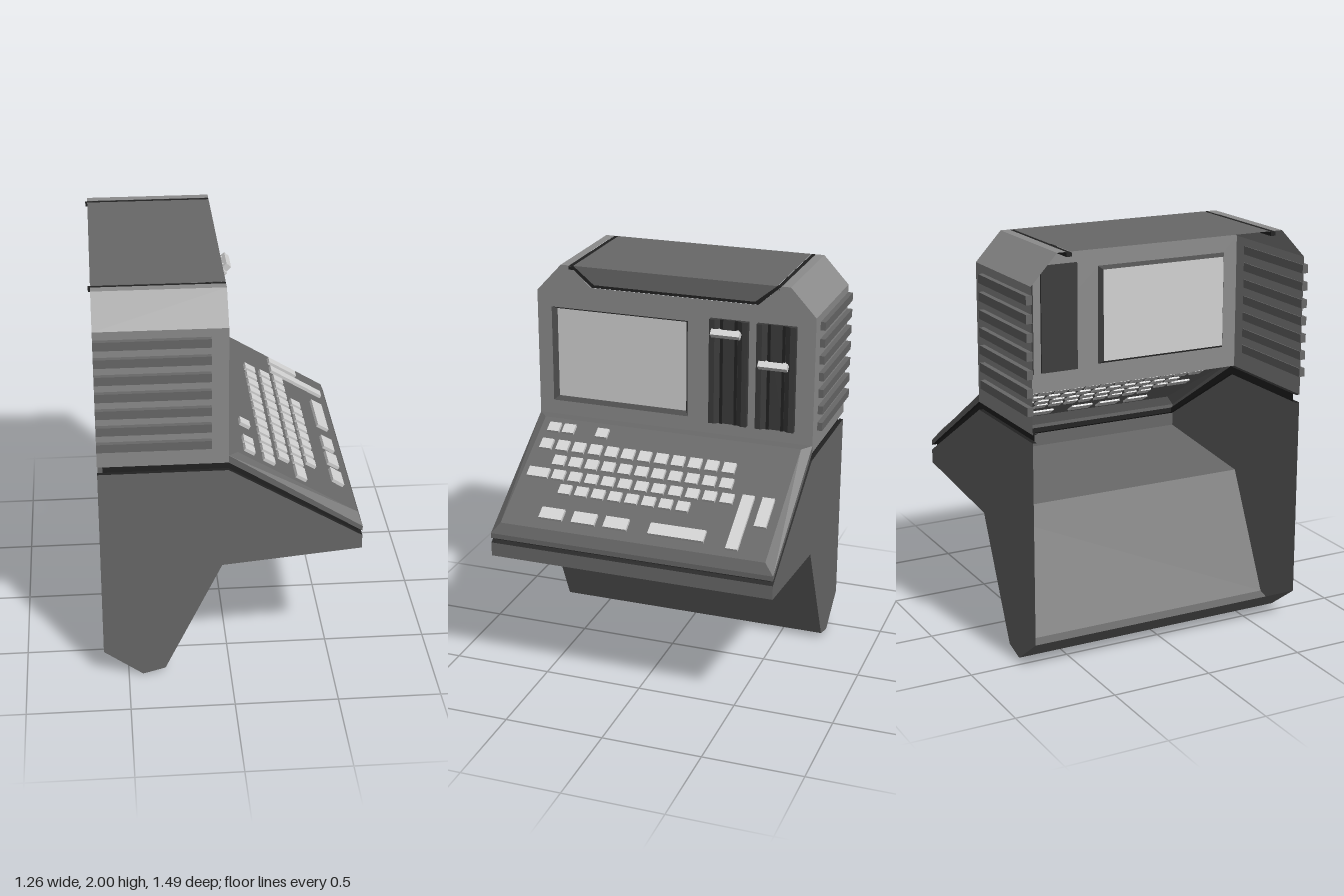
import * as THREE from 'three';

const flat = (name, color) => {
  const m = new THREE.MeshStandardMaterial({ color, side: THREE.DoubleSide });
  m.name = name;
  return m;
};

export function createModel() {
  const model = new THREE.Group();
  model.name = 'computerTerminal';
  const light = flat('cabinet grey', 0x8c8c8c);
  const dark = flat('base grey', 0x686868);
  const black = flat('seam black', 0x222222);
  const drive = flat('drive charcoal', 0x3c3c3c);
  const bezelGrey = flat('bezel grey', 0x4c4c4c);
  const pale = flat('pale grey', 0xd2d2d2);

  const add = (name, geometry, material, parent = model) => {
    const mesh = new THREE.Mesh(geometry, material);
    mesh.name = name;
    parent.add(mesh);
    return mesh;
  };
  // flat faces between two rows of 3D points
  const ribbon = (a, b) => {
    const p = [];
    for (let i = 0; i < a.length - 1; i++) {
      p.push(...a[i], ...b[i], ...b[i + 1], ...a[i], ...b[i + 1], ...a[i + 1]);
    }
    const g = new THREE.BufferGeometry();
    g.setAttribute('position', new THREE.Float32BufferAttribute(p, 3));
    g.computeVertexNormals();
    return g;
  };
  // an x-y path swept across z
  const sheet = (path, z0, z1) =>
    ribbon(path.map(([x, y]) => [x, y, z1]), path.map(([x, y]) => [x, y, z0]));
  const shape = (pts) => new THREE.Shape(pts.map(([x, y]) => new THREE.Vector2(x, y)));
  // matching side walls at both ends of the body
  const sidePair = (name, pts, z, material) => {
    for (const s of [1, -1]) {
      const g = new THREE.ShapeGeometry(shape(pts));
      if (s < 0) g.rotateY(Math.PI).scale(-1, 1, 1);
      add(name, g.translate(0, 0, s * z), material);
    }
  };
  // outline in (-z, y) turned to face +x
  const facing = (s, x) => new THREE.ShapeGeometry(s).rotateY(Math.PI / 2).translate(x, 0, 0);

  const W = 0.72, N = 0.7, BACK = -0.62, FRONT = -0.01;

  // hollow pedestal, open at the back
  const under = [[BACK, 0.14], [-0.43, 0], [-0.32, 0.03], [-0.04, 0.615], [0.63, 0.68], [0.63, 0.75]];
  const baseTop = [[0.63, 0.75], [FRONT, 1.135], [BACK, 1.135]];
  sidePair('pedestalSide', [...under, ...baseTop.slice(1)], W, dark);
  add('pedestalShell', sheet(under, -W, W), dark);

  // recessed black neck with ledges above and below
  const neckLow = [[0.61, 0.762], [FRONT, 1.135], [-0.595, 1.135]];
  const neckHigh = [[-0.595, 1.175], [FRONT, 1.175], [0.61, 0.788]];
  sidePair('neckSide', [...neckLow, ...neckHigh], N, black);
  add('neckFront', sheet([neckLow[0], neckHigh[2]], -N, N), black);
  const deckLow = [[0.63, 0.775], [FRONT, 1.175], [BACK, 1.175]];
  for (const path of [baseTop, deckLow]) {
    for (const s of [1, -1]) {
      add('neckLedge', sheet(path, Math.min(s * W, s * N), Math.max(s * W, s * N)), black);
    }
  }
  add('neckLip', sheet([[0.63, 0.75], neckLow[0]], -W, W), black);
  add('neckLip', sheet([neckHigh[2], [0.63, 0.775]], -W, W), black);

  // sloping keyboard deck with bevelled border
  const deckSide = [[FRONT, 1.175], [0.63, 0.775], [0.63, 0.8], [FRONT, 1.212]];
  sidePair('deckSide', deckSide, W, dark);
  add('deckFrontEdge', sheet([deckSide[1], deckSide[2]], -W, W), dark);
  const inner0 = [0.035, 1.205], inner1 = [0.61, 0.855], IZ = 0.675;
  const loop = (a, b, z) => [[...a, z], [...b, z], [...b, -z], [...a, -z], [...a, z]];
  add('deckBevel', ribbon(loop(deckSide[3], deckSide[2], W), loop(inner0, inner1, IZ)), dark);
  add('deckTop', sheet([inner0, inner1], -IZ, IZ), dark);

  // keys lying on the slope
  const keyboard = new THREE.Group();
  keyboard.name = 'keyboard';
  model.add(keyboard);
  const slope = (inner1[1] - inner0[1]) / (inner1[0] - inner0[0]);
  const tilt = Math.atan(slope);
  const key = (x0, x1, z0, z1) => {
    const x = (x0 + x1) / 2;
    const k = add('key', new THREE.BoxGeometry((x1 - x0) / Math.cos(tilt), 0.026, z1 - z0), pale, keyboard);
    k.position.set(x, inner0[1] + slope * (x - inner0[0]) + 0.004, (z0 + z1) / 2);
    k.rotation.z = tilt;
  };
  // rows: x start, x end, first key centre, count
  const rows = [[0.16, 0.212, -0.36, 12], [0.24, 0.29, -0.373, 11], [0.315, 0.363, -0.4, 11], [0.385, 0.432, -0.2, 8]];
  for (const [x0, x1, z, n] of rows) {
    for (let i = 0; i < n; i++) key(x0, x1, z + i * 0.0876 - 0.031, z + i * 0.0876 + 0.031);
  }
  for (const z of [0.34, 0.52, 0.6]) key(0.07, 0.117, z - 0.031, z + 0.031);
  key(0.315, 0.363, 0.53, 0.64);
  for (const [z0, z1] of [[-0.355, -0.075], [0.035, 0.155], [0.2, 0.32], [0.37, 0.49]]) key(0.51, 0.565, z0, z1);
  key(0.31, 0.455, -0.63, -0.57);
  key(0.31, 0.58, -0.53, -0.47);

  // upper cabinet walls, open at the back
  const wall = [[0.72, 1.175], [0.72, 1.86], [0.59, 2], [0.545, 2]];
  for (const s of [1, -1]) {
    add('cabinetSide', ribbon(wall.map(([z, y]) => [BACK, y, s * z]), wall.map(([z, y]) => [FRONT, y, s * z])), light);
    // roof seam
    add('roofSeam', new THREE.BoxGeometry(0.62, 0.018, 0.026).translate(-0.32, 1.988, s * 0.535), black);
    // louvres
    for (let i = 0; i < 7; i++) {
      add('louvre', new THREE.BoxGeometry(0.53, 0.042, 0.03).translate(-0.355, 1.285 + i * 0.0857, s * 0.73), dark);
    }
  }

  // front face with screen opening
  const face = shape([[-0.72, 1.175], [0.72, 1.175], [0.72, 1.86], [0.59, 2], [0.545, 2],
    [0.43, 1.897], [-0.43, 1.897], [-0.545, 2], [-0.59, 2], [-0.72, 1.86]]);
  const rect = (u0, v0, u1, v1) => [[u0, v0], [u1, v0], [u1, v1], [u0, v1], [u0, v0]];
  const opening = rect(-0.645, 1.285, 0.075, 1.78);
  const glass = rect(-0.626, 1.302, 0.058, 1.765);
  face.holes.push(new THREE.Path(opening.map(([u, v]) => new THREE.Vector2(u, v))));
  add('cabinetFace', facing(face, FRONT), light);
  add('screenBezel', ribbon(opening.map(([u, v]) => [FRONT, v, -u]), glass.map(([u, v]) => [-0.04, v, -u])), bezelGrey);
  add('screen', facing(shape(glass.slice(0, 4)), -0.04), pale);

  // roof panel and its front
  add('roofPanel', sheet([[BACK, 2], [FRONT, 2]], -0.523, 0.523), dark);
  add('roofFront', facing(shape([[-0.415, 1.912], [0.415, 1.912], [0.523, 2], [-0.523, 2]]), FRONT), dark);
  const outerU = [[0.545, 2], [0.43, 1.897], [-0.43, 1.897], [-0.545, 2]];
  const innerU = [[0.523, 2], [0.415, 1.912], [-0.415, 1.912], [-0.523, 2]];
  add('roofFrontSeam', ribbon(outerU.map(([z, y]) => [-0.013, y, z]), innerU.map(([z, y]) => [-0.013, y, z])), black);

  // two disk drives with channelled fronts and diamond latches
  for (const [zc, latchY] of [[-0.29, 1.755], [-0.53, 1.62]]) {
    const unit = new THREE.Group();
    unit.name = 'diskDrive';
    unit.position.z = zc;
    model.add(unit);
    const section = shape([[-0.02, -0.098], [0.016, -0.098], [0.016, -0.07], [0.002, -0.045],
      [0.002, 0.045], [0.016, 0.07], [0.016, 0.098], [-0.02, 0.098]]);
    const body = new THREE.ExtrudeGeometry(section, { depth: 0.535, bevelEnabled: false });
    add('driveBody', body.rotateX(-Math.PI / 2).translate(0, 1.275, 0), drive, unit);
    for (const s of [1, -1]) {
      add('driveRail', new THREE.BoxGeometry(0.008, 0.535, 0.014).translate(0.004, 1.5425, s * 0.037), black, unit);
      add('latchStem', new THREE.BoxGeometry(0.045, 0.018, 0.012).translate(0.024, latchY, s * 0.045), pale, unit);
    }
    const bar = shape([[0.033, 0], [0.056, -0.022], [0.079, 0], [0.056, 0.022]]);
    const latch = new THREE.ExtrudeGeometry(bar, { depth: 0.146, bevelEnabled: false });
    add('latch', latch.translate(0, latchY, -0.073), pale, unit);
  }
  return model;
}
